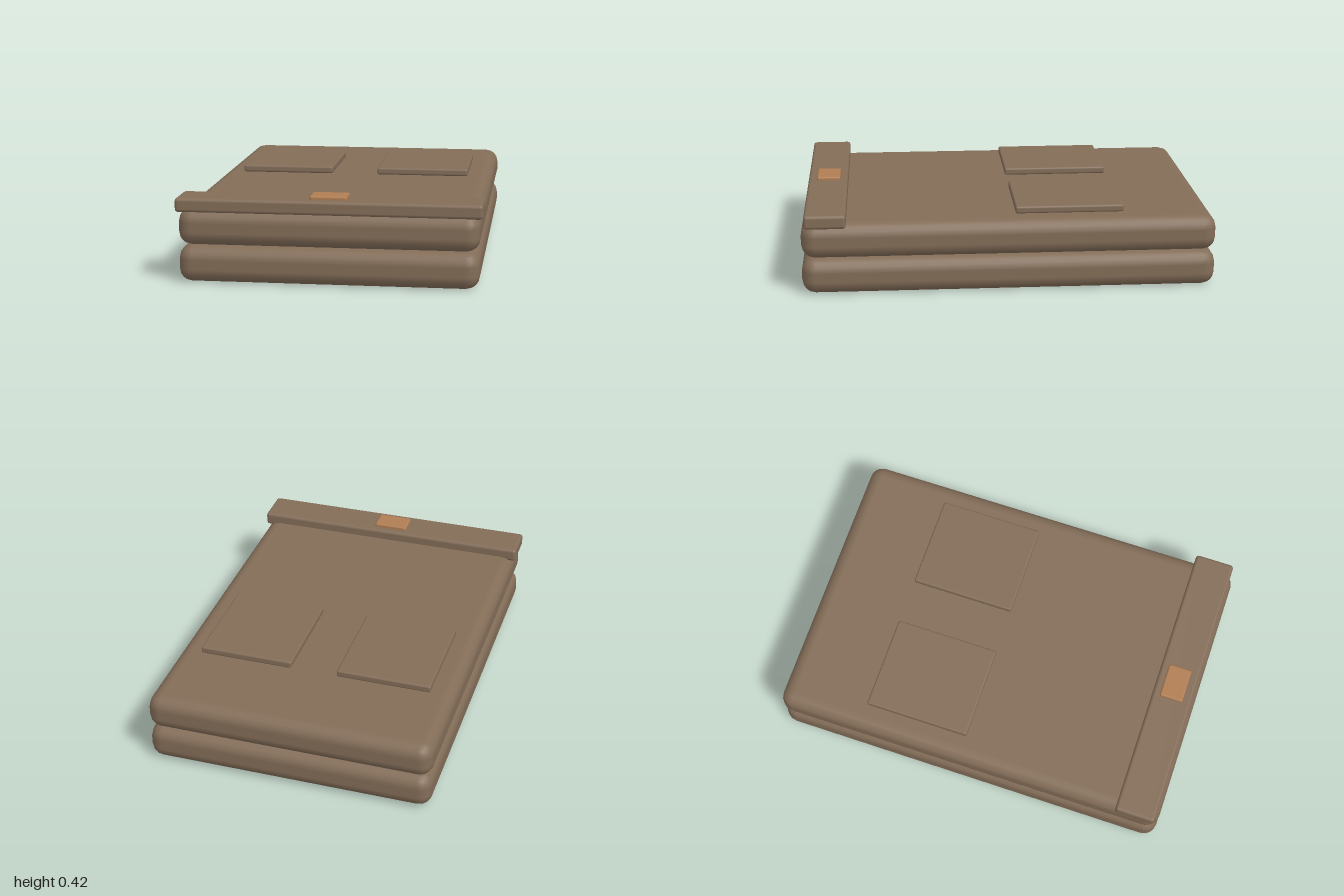
import * as THREE from 'three';
import { RoundedBoxGeometry } from 'three/addons/geometries/RoundedBoxGeometry.js';

export function createModel() {
  const model = new THREE.Group();
  model.name = 'foldedTrousers';

  const cloth = new THREE.MeshStandardMaterial({ color: 0x836d58 });
  cloth.name = 'brownCloth';
  const copper = new THREE.MeshStandardMaterial({ color: 0xb07d52 });
  copper.name = 'copper';

  // Rounded block given by its size, centre and corner radius
  function block(name, material, [w, h, d], [x, y, z], radius) {
    const mesh = new THREE.Mesh(new RoundedBoxGeometry(w, h, d, 2, radius), material);
    mesh.name = name;
    mesh.position.set(x, y, z);
    model.add(mesh);
  }

  // Two folded legs lying on top of each other
  ['lowerLeg', 'upperLeg'].forEach((name, i) =>
    block(name, cloth, [1.41, 0.176, 2], [0, 0.088 + i * 0.176, 0], 0.066));

  // Waistband across the front end, with its button
  block('waistband', cloth, [1.432, 0.068, 0.2], [0, 0.367, 0.883], 0.016);
  block('button', copper, [0.175, 0.036, 0.118], [0, 0.4, 0.88], 0.009);

  // Back pockets, mirrored
  for (const [name, side] of [['leftPocket', 1], ['rightPocket', -1]]) {
    block(name, cloth, [0.47, 0.036, 0.527], [side * 0.351, 0.371, -0.296], 0.01);
  }

  return model;
}
